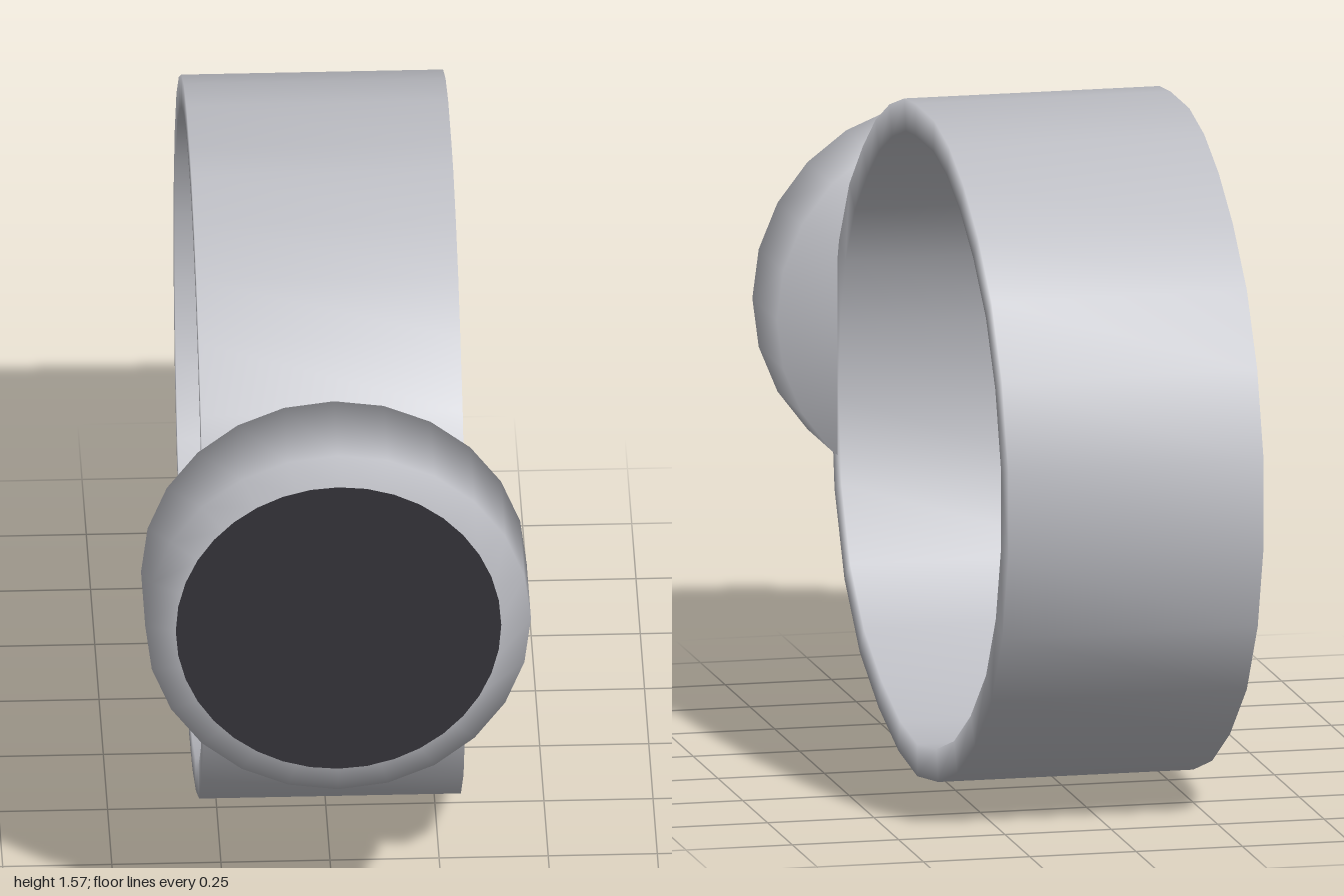
import * as THREE from 'three';

const HALF_WIDTH = 0.3;
const THICKNESS = 0.075;

// Outer outline of the band as [z, y], from the bottom round the front, top and back
const OUTLINE = [
  [-0.08, 0], [0.11, 0.02], [0.31, 0.08], [0.5, 0.17], [0.655, 0.31], [0.755, 0.5],
  [0.79, 0.72], [0.77, 0.91], [0.71, 1.09], [0.605, 1.245], [0.47, 1.36], [0.34, 1.45],
  [0.2, 1.515], [0.05, 1.56], [-0.06, 1.57], [-0.25, 1.57], [-0.4, 1.54], [-0.545, 1.48],
  [-0.69, 1.39], [-0.83, 1.265], [-0.935, 1.1], [-1, 0.9], [-1, 0.7], [-0.94, 0.5],
  [-0.83, 0.33], [-0.66, 0.19], [-0.48, 0.09], [-0.29, 0.03],
];

// Rectangular section swept round the closed outline, with shared smooth normals
function bandGeometry() {
  const n = OUTLINE.length;
  const positions = [];
  const indices = [];
  OUTLINE.forEach(([z, y], i) => {
    const before = OUTLINE[(i + n - 1) % n];
    const after = OUTLINE[(i + 1) % n];
    const tangent = new THREE.Vector2(after[0] - before[0], after[1] - before[1]).normalize();
    const innerZ = z - tangent.y * THICKNESS;
    const innerY = y + tangent.x * THICKNESS;
    positions.push(
      HALF_WIDTH, y, z, -HALF_WIDTH, y, z,
      -HALF_WIDTH, innerY, innerZ, HALF_WIDTH, innerY, innerZ,
    );
    const next = (i + 1) % n;
    for (let k = 0; k < 4; k++) {
      const a = i * 4 + k;
      const b = i * 4 + (k + 1) % 4;
      const c = next * 4 + (k + 1) % 4;
      const d = next * 4 + k;
      indices.push(a, d, c, a, c, b);
    }
  });
  const geometry = new THREE.BufferGeometry();
  geometry.setAttribute('position', new THREE.Float32BufferAttribute(positions, 3));
  geometry.setIndex(indices);
  geometry.computeVertexNormals();
  return geometry;
}

export function createModel() {
  const metal = new THREE.MeshStandardMaterial({ color: 0xbcbdc3 });
  metal.name = 'silver grey';
  const glass = new THREE.MeshStandardMaterial({ color: 0x333238 });
  glass.name = 'dark face';

  const model = new THREE.Group();
  model.name = 'roundFacedBand';

  const add = (name, geometry, material) => {
    const mesh = new THREE.Mesh(geometry, material);
    mesh.name = name;
    model.add(mesh);
    return mesh;
  };

  add('band', bandGeometry(), metal);

  // Round case with a bevelled front rim, closed at the back
  const profile = [[0, 0.727], [0.442, 0.727], [0.442, 0.975], [0.37, 0.999], [0, 0.999]]
    .map(([r, z]) => new THREE.Vector2(r, z));
  const caseGeometry = new THREE.LatheGeometry(profile.slice(0, 4), 24);
  caseGeometry.rotateX(Math.PI / 2);
  add('case', caseGeometry, metal).position.y = 0.907;

  // Flat dark face
  add('face', new THREE.CircleGeometry(0.373, 36), glass).position.set(0, 0.907, 1);

  return model;
}
